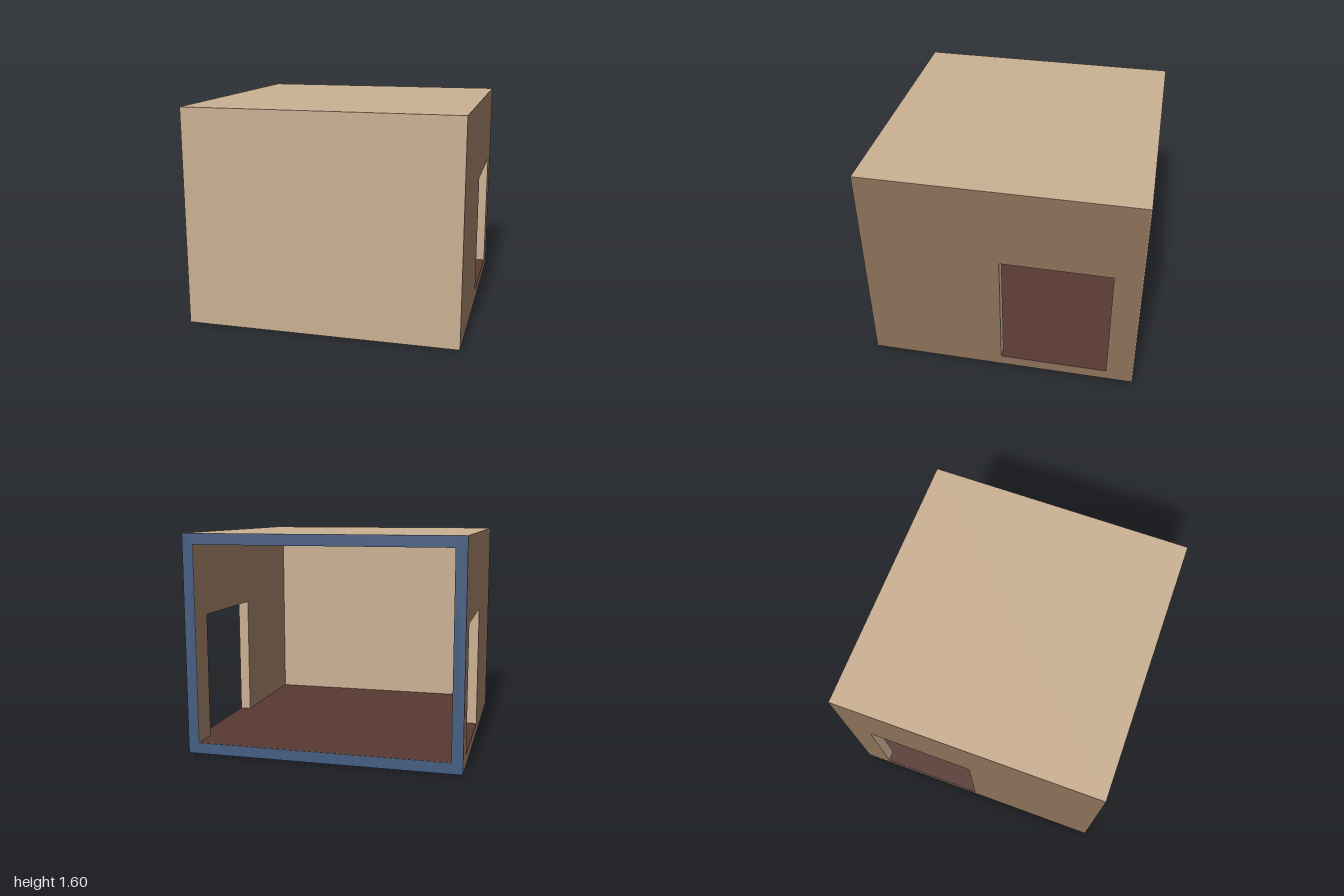
import * as THREE from 'three';

const W = 2, H = 1.6, D = 2; // outer size
const T = 0.08; // wall thickness
const SKIN = 0.005; // thickness of the rear rim plate
const BACK = -D / 2 + SKIN; // rear end of the shell behind the rim

const flat = (name, color) => {
  const m = new THREE.MeshStandardMaterial({ color });
  m.name = name;
  return m;
};

export function createModel() {
  const tan = flat('tan', 0xc8ae90);
  const brown = flat('brown', 0x8a7059);
  const maroon = flat('maroon', 0x583832);
  const blue = flat('blue', 0x445c80);

  const model = new THREE.Group();
  model.name = 'room';
  const add = (name, geometry, materials) => {
    const mesh = new THREE.Mesh(geometry, materials);
    mesh.name = name;
    model.add(mesh);
    return mesh;
  };

  // Floor and roof slabs; face order is +x, -x, +y, -y, +z, -z
  const depth = D / 2 - BACK, midZ = (D / 2 + BACK) / 2;
  const slab = new THREE.BoxGeometry(W, T, depth);
  add('floor', slab, [brown, brown, maroon, tan, tan, tan]).position.set(0, T / 2, midZ);
  add('roof', slab, [brown, brown, tan, brown, tan, tan]).position.set(0, H - T / 2, midZ);

  // Solid front wall between the side walls
  add('frontWall', new THREE.BoxGeometry(W - 2 * T, H - 2 * T, T), tan)
    .position.set(0, H / 2, D / 2 - T / 2);

  // Side walls, each with a doorway rising from the floor (outline in z, y)
  const outline = [
    [BACK, T], [-0.8, T], [-0.8, 1], [0, 1], [0, T],
    [D / 2, T], [D / 2, H - T], [BACK, H - T],
  ].map(([z, y]) => new THREE.Vector2(z, y));
  const wall = new THREE.ExtrudeGeometry(new THREE.Shape(outline), { depth: T, bevelEnabled: false });
  wall.rotateY(-Math.PI / 2).translate(T / 2, 0, 0);
  for (const [name, side] of [['leftWall', 1], ['rightWall', -1]]) {
    add(name, wall, [brown, tan]).position.x = side * (W / 2 - T / 2);
  }

  // Blue rim around the open back
  const rect = (Type, x, y0, y1) => new Type([
    new THREE.Vector2(-x, y0), new THREE.Vector2(x, y0),
    new THREE.Vector2(x, y1), new THREE.Vector2(-x, y1),
  ]);
  const rim = rect(THREE.Shape, W / 2, 0, H);
  rim.holes.push(rect(THREE.Path, W / 2 - T, T, H - T));
  add('rearRim', new THREE.ExtrudeGeometry(rim, { depth: SKIN, bevelEnabled: false }), [blue, tan])
    .position.z = -D / 2;

  return model;
}
